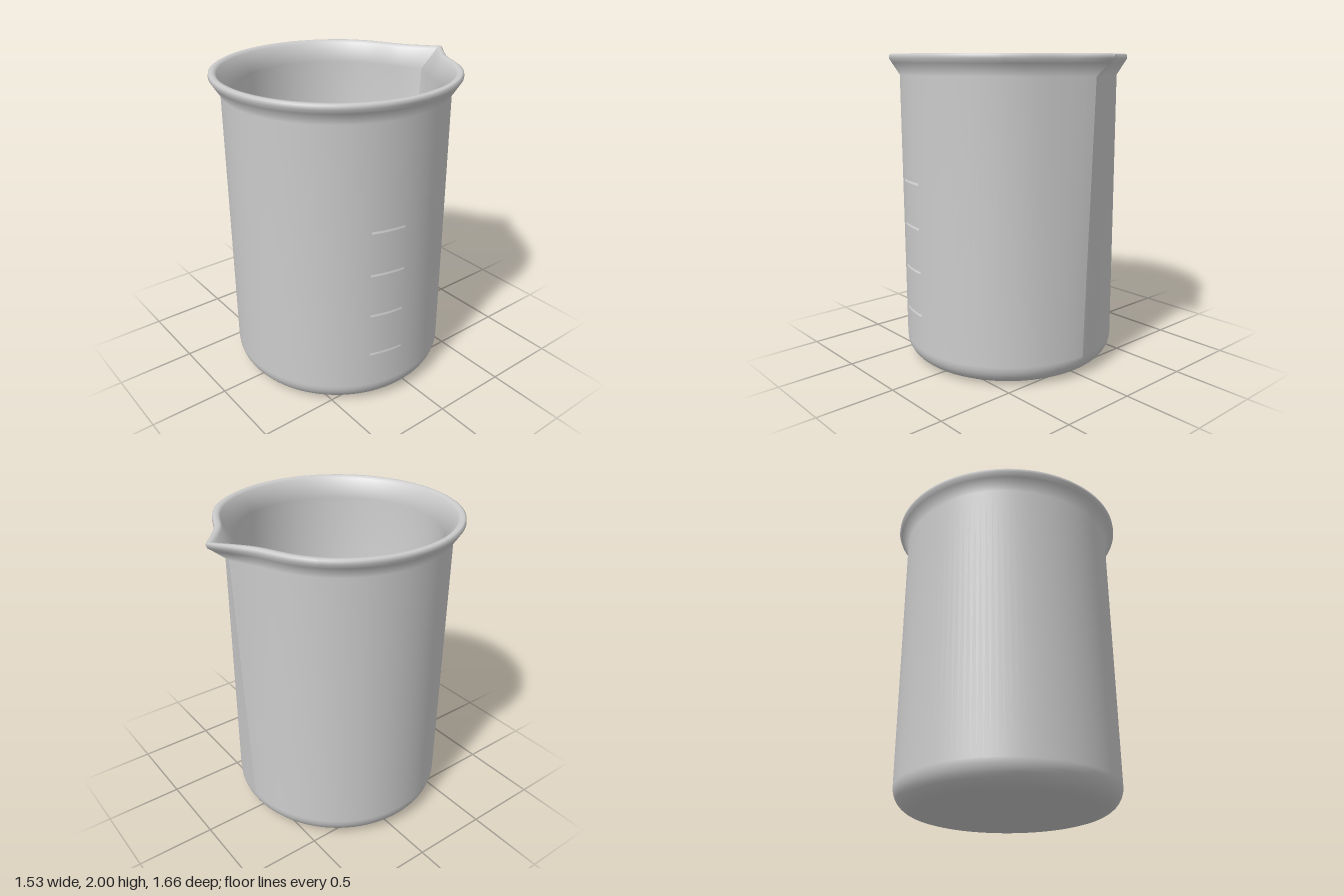
import * as THREE from 'three';

const CENTRE_Z = 0.065; // round body sits forward of the spout

// Spout outline: angle from the back and extra radius at the rim
const SPOUT = new THREE.SplineCurve([
  [0, 0.135], [0.06, 0.094], [0.12, 0.058], [0.19, 0.026], [0.26, 0.003],
  [0.34, -0.010], [0.45, -0.013], [0.6, -0.007], [0.8, 0],
].map(([a, d]) => new THREE.Vector2(a, d)));

// Wall profile from under the base, up the outside, over the rim, down the inside.
// Each point is radius, height, share of the spout.
function wallProfile() {
  const points = [[0, 0, 0]];
  for (let i = 0; i <= 8; i++) { // rounded foot
    const t = (i / 8) * Math.PI / 2;
    points.push([0.565 + 0.135 * Math.sin(t), 0.135 - 0.135 * Math.cos(t), 0]);
  }
  points.push(
    [0.70, 1.87, 0.48], [0.748, 1.945, 0.8], [0.765, 1.972, 0.93], // flare
    [0.763, 1.994, 1], [0.752, 2, 1], [0.73, 2, 1], [0.715, 1.985, 0.97], // rim
    [0.645, 1.87, 0.5], [0.645, 0.06, 0], [0, 0.06, 0], // inside and floor
  );
  return points;
}

// Angles around the body, closely spaced at the spout, with the seam on its crease
function ringOutline() {
  const half = SPOUT.getPoints(32).map((p) => [p.x, p.y]);
  const steps = 44;
  for (let i = 1; i <= steps; i++) half.push([0.8 + (Math.PI - 0.8) * i / steps, 0]);
  const mirrored = half.slice(0, -1).reverse().map(([a, d]) => [2 * Math.PI - a, d]);
  return half.concat(mirrored);
}

function vesselGeometry() {
  const profile = wallProfile();
  const outline = ringOutline();
  const n = outline.length;
  const positions = [];
  const index = [];
  profile.forEach(([radius, y, share], j) => {
    outline.forEach(([angle, bulge], i) => {
      const r = radius + bulge * share;
      positions.push(r * Math.sin(angle), y, CENTRE_Z - r * Math.cos(angle));
      if (j < profile.length - 1 && i < n - 1) {
        const a = j * n + i, b = a + n;
        if (j < profile.length - 2) index.push(a, b, b + 1);
        else index.push(a, b, a + 1);
        if (j > 0 && j < profile.length - 2) index.push(a, b + 1, a + 1);
      }
    });
  });
  const geometry = new THREE.BufferGeometry();
  geometry.setAttribute('position', new THREE.Float32BufferAttribute(positions, 3));
  geometry.setIndex(index);
  geometry.computeVertexNormals();
  return geometry;
}

export function createModel() {
  const model = new THREE.Group();
  model.name = 'beaker';
  const wallGrey = new THREE.MeshStandardMaterial({ color: 0xcccccc });
  wallGrey.name = 'wallGrey';
  const markWhite = new THREE.MeshStandardMaterial({ color: 0xffffff, side: THREE.DoubleSide });
  markWhite.name = 'markWhite';

  const vessel = new THREE.Mesh(vesselGeometry(), wallGrey);
  vessel.name = 'vessel';
  model.add(vessel);

  // Graduation lines wrapped around the left side
  const marks = new THREE.Group();
  marks.name = 'graduationMarks';
  const start = Math.acos(0.255 / 0.704);
  const end = Math.acos(0.04 / 0.704);
  const markGeometry = new THREE.CylinderGeometry(0.704, 0.704, 0.015, 12, 1, true, start, end - start);
  [0.37, 0.653, 0.935, 1.217].forEach((y, i) => {
    const mark = new THREE.Mesh(markGeometry, markWhite);
    mark.name = `graduationMark${i + 1}`;
    mark.position.set(0, y, CENTRE_Z);
    marks.add(mark);
  });
  model.add(marks);
  return model;
}
